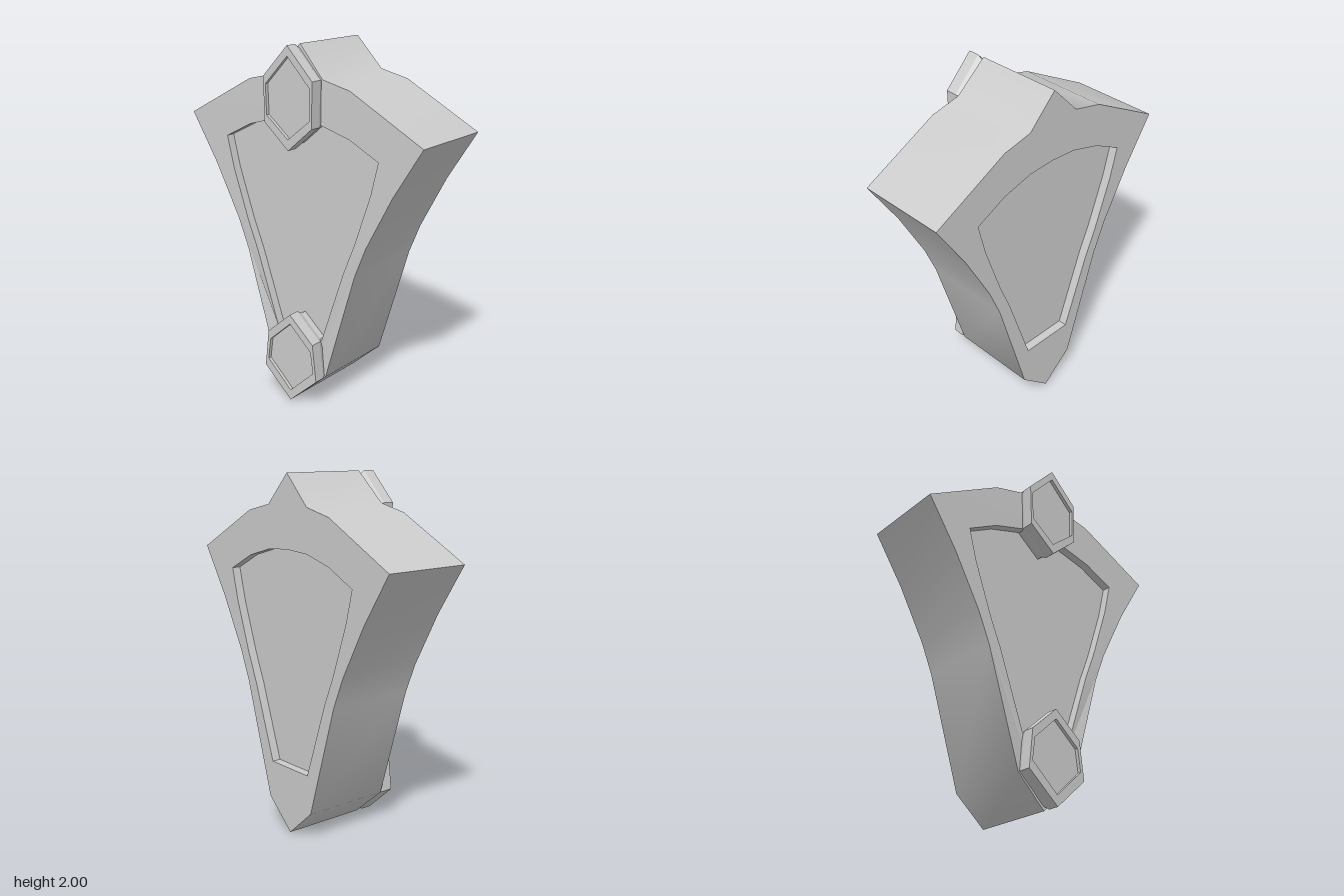
import * as THREE from 'three';
import { toCreasedNormals } from 'three/addons/utils/BufferGeometryUtils.js';

const BACK = -0.3, FRONT = 0.22, DEPTH = 0.05;

// Right half listed top to bottom; the other half is mirrored (counter-clockwise result)
function mirrored(half) {
  const left = half.filter(p => p[0] > 0).map(([x, y]) => [-x, y]);
  return [...left, ...half.slice().reverse()];
}
const toVectors = pts => pts.map(([x, y]) => new THREE.Vector2(x, y));

// Stack of equal-count rings [points, z], closed with a fan at both ends
function loft(sections) {
  const n = sections[0][0].length, pos = [], idx = [];
  for (const [pts, z] of sections) for (const [x, y] of pts) pos.push(x, y, z);
  for (let s = 0; s < sections.length - 1; s++) {
    for (let i = 0; i < n; i++) {
      const a = s * n + i, b = s * n + (i + 1) % n;
      idx.push(a, b, b + n, a, b + n, a + n);
    }
  }
  const last = (sections.length - 1) * n;
  for (let i = 1; i < n - 1; i++) {
    idx.push(0, i + 1, i, last, last + i, last + i + 1);
  }
  const g = new THREE.BufferGeometry();
  g.setAttribute('position', new THREE.Float32BufferAttribute(pos, 3));
  g.setIndex(idx);
  const flat = g.toNonIndexed();
  flat.computeVertexNormals();
  return flat;
}

export function createModel() {
  const group = new THREE.Group();
  const material = new THREE.MeshStandardMaterial({ color: 0xcccccc });
  const add = (name, geometry) => {
    const mesh = new THREE.Mesh(geometry, material);
    mesh.name = name;
    group.add(mesh);
  };

  const outline = mirrored([[0, 2], [0.165, 1.83], [0.34, 1.79], [0.785, 1.555], [0.61, 1.28],
    [0.45, 0.98], [0.38, 0.81], [0.185, 0.165], [0, 0]]);
  const recess = mirrored([[0, 1.6], [0.16, 1.59], [0.34, 1.54], [0.52, 1.45], [0.475, 1.27],
    [0.375, 0.98], [0.305, 0.81], [0.157, 0.38]]);

  // Shield-shaped frame, open through the middle
  const shape = new THREE.Shape(toVectors(outline));
  shape.holes.push(new THREE.Path(toVectors(recess)));
  const frame = new THREE.ExtrudeGeometry(shape, { depth: FRONT - BACK, bevelEnabled: false });
  frame.translate(0, 0, BACK);
  // The front edge falls back slightly at the two tips
  const p = frame.attributes.position;
  for (let i = 0; i < p.count; i++) {
    const tip = Math.abs(p.getX(i)) < 0.001 && (p.getY(i) > 1.99 || p.getY(i) < 0.01);
    if (tip && p.getZ(i) > 0.2) p.setZ(i, 0.2);
  }
  add('frame', toCreasedNormals(frame, 0.7));

  // Panel filling the frame, sunk below both faces
  const panel = new THREE.ExtrudeGeometry(new THREE.Shape(toVectors(recess)),
    { depth: FRONT - BACK - 2 * DEPTH, bevelEnabled: false });
  panel.translate(0, 0, BACK + DEPTH);
  add('recessedPanel', panel);

  // Hexagonal studs with a narrower neck and a shallow sunken face
  const studs = {
    upperStud: [[[0, 2], [0.165, 1.83], [0.16, 1.585], [0, 1.45]],
      [[0, 1.945], [0.15, 1.79], [0.145, 1.625], [0, 1.51]]],
    lowerStud: [[[0, 0.52], [0.16, 0.38], [0.185, 0.165], [0, 0]],
      [[0, 0.465], [0.145, 0.335], [0.162, 0.21], [0, 0.06]]],
  };
  for (const [name, [outerHalf, innerHalf]] of Object.entries(studs)) {
    const outer = mirrored(outerHalf), inner = mirrored(innerHalf);
    const cy = (outerHalf[0][1] + outerHalf[3][1]) / 2;
    const neck = outer.map(([x, y]) => [x * 0.92, cy + (y - cy) * 0.92]);
    add(name, loft([[neck, FRONT - DEPTH], [neck, 0.205], [outer, 0.24], [outer, 0.305],
      [inner, 0.305], [inner, 0.285]]));
  }
  return group;
}
